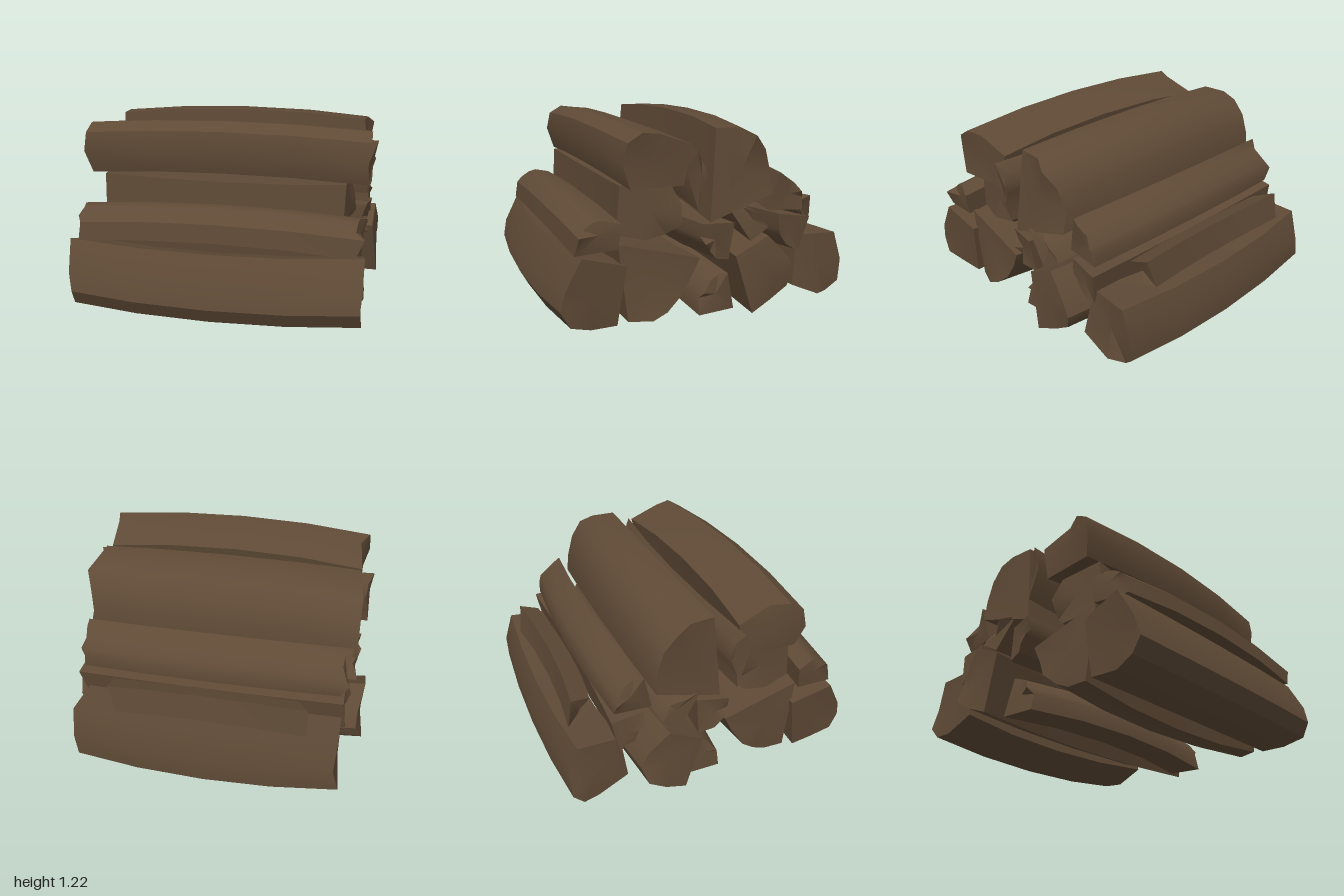
import * as THREE from 'three';
import { toCreasedNormals } from 'three/addons/utils/BufferGeometryUtils.js';

// Each split log: name, half length, then [z, y] of bark start, bark middle, bark end and split corner
const LOGS = [
  ['bottomFrontLog', 0.93, [0.87, 0.51], [0.98, 0.12], [0.6, 0.03], [0.55, 0.43]],
  ['bottomSecondLog', 0.91, [0.05, 0.42], [0.22, 0.1], [0.53, 0.02], [0.59, 0.55]],
  ['bottomMiddleLog', 0.87, [-0.13, 0.33], [0.04, 0.25], [0.09, 0.03], [-0.19, 0.04]],
  ['bottomFourthLog', 1, [-0.41, 0.53], [-0.58, 0.22], [-0.24, 0.04], [-0.14, 0.42]],
  ['bottomBackLog', 0.88, [-0.93, 0.48], [-0.96, 0.05], [-0.58, 0.12], [-0.63, 0.48]],
  ['secondRowFrontLog', 0.92, [0.88, 0.51], [0.8, 0.73], [0.58, 0.73], [0.6, 0.53]],
  ['secondRowThickLog', 0.83, [0.19, 0.88], [0.16, 0.55], [0.57, 0.55], [0.55, 0.88]],
  ['secondRowNarrowLog', 0.93, [0.11, 0.63], [0.08, 0.45], [-0.12, 0.36], [-0.13, 0.63]],
  ['secondRowWedgeLog', 0.93, [-0.11, 0.74], [-0.33, 0.71], [-0.42, 0.57], [-0.25, 0.5]],
  ['secondRowRearLog', 0.89, [-0.44, 0.64], [-0.48, 0.42], [-0.64, 0.34], [-0.68, 0.61]],
  ['smallBackLog', 0.64, [-0.68, 0.63], [-0.75, 0.53], [-0.89, 0.47], [-0.86, 0.68]],
  ['topFrontLog', 0.92, [0.57, 0.88], [0.55, 1.22], [0.13, 1.15], [0.18, 0.87]],
  ['topThinLog', 0.96, [0.08, 1.1], [0.01, 0.93], [0.1, 0.72], [0.17, 0.95]],
  ['topLargeLog', 0.91, [-0.03, 1.24], [-0.36, 1.15], [-0.45, 0.78], [0.02, 0.64]],
  ['topBackLog', 0.88, [-0.48, 0.93], [-0.66, 0.83], [-0.7, 0.65], [-0.42, 0.66]],
];

const STATIONS = [-1, -0.5, 0, 0.5, 1];

function seeded(seed) {
  return () => {
    seed = (seed * 16807) % 2147483647;
    return seed / 2147483647;
  };
}

// Loft a log along x: rounded bark on one side, flat split faces, uneven ends
function logGeometry(halfLength, corners, random) {
  const [start, middle, end, split] = corners.map(([z, y]) => new THREE.Vector2(z, y));
  const chord = start.clone().add(end).multiplyScalar(0.5);
  const control = middle.clone().multiplyScalar(2).sub(chord);
  const bark = new THREE.QuadraticBezierCurve(start, control, end).getPoints(5);
  const section = [...bark, split];
  if (THREE.ShapeUtils.area(section) > 0) section.reverse();
  const n = section.length;
  const centre = chord.clone().add(middle).add(split).divideScalar(3);
  const bow = middle.clone().sub(chord).setLength(0.055);
  const positions = [], index = [];

  for (const t of STATIONS) {
    for (const p of section) {
      // The log bows towards its bark, keeping its outline within the section
      const shift = (axis) => bow[axis] * ((p[axis] - centre[axis]) * bow[axis] > 0 ? -t * t : 1 - t * t);
      const inset = Math.abs(t) === 1 ? random() * 0.07 : 0;
      positions.push(t * (halfLength - inset), p.y + shift('y'), p.x + shift('x'));
    }
  }
  for (let i = 0; i < STATIONS.length - 1; i++) {
    for (let j = 0; j < n; j++) {
      const a = i * n + j, b = i * n + (j + 1) % n;
      index.push(a, b, b + n, a, b + n, a + n);
    }
  }

  // End grain
  const last = (STATIONS.length - 1) * n, hub = STATIONS.length * n;
  for (const side of [-1, 1]) positions.push(side * (halfLength - 0.04), centre.y, centre.x);
  for (let j = 0; j < n; j++) {
    const k = (j + 1) % n;
    index.push(hub, k, j, hub + 1, last + j, last + k);
  }

  const geometry = new THREE.BufferGeometry();
  geometry.setAttribute('position', new THREE.Float32BufferAttribute(positions, 3));
  geometry.setIndex(index);
  return toCreasedNormals(geometry, 0.65);
}

export function createModel() {
  const group = new THREE.Group();
  group.name = 'firewoodStack';
  const wood = new THREE.MeshStandardMaterial({ color: 0x5f4a36 });
  wood.name = 'brown wood';
  const random = seeded(71);
  for (const [name, halfLength, ...corners] of LOGS) {
    const mesh = new THREE.Mesh(logGeometry(halfLength, corners, random), wood);
    mesh.name = name;
    group.add(mesh);
  }
  return group;
}
